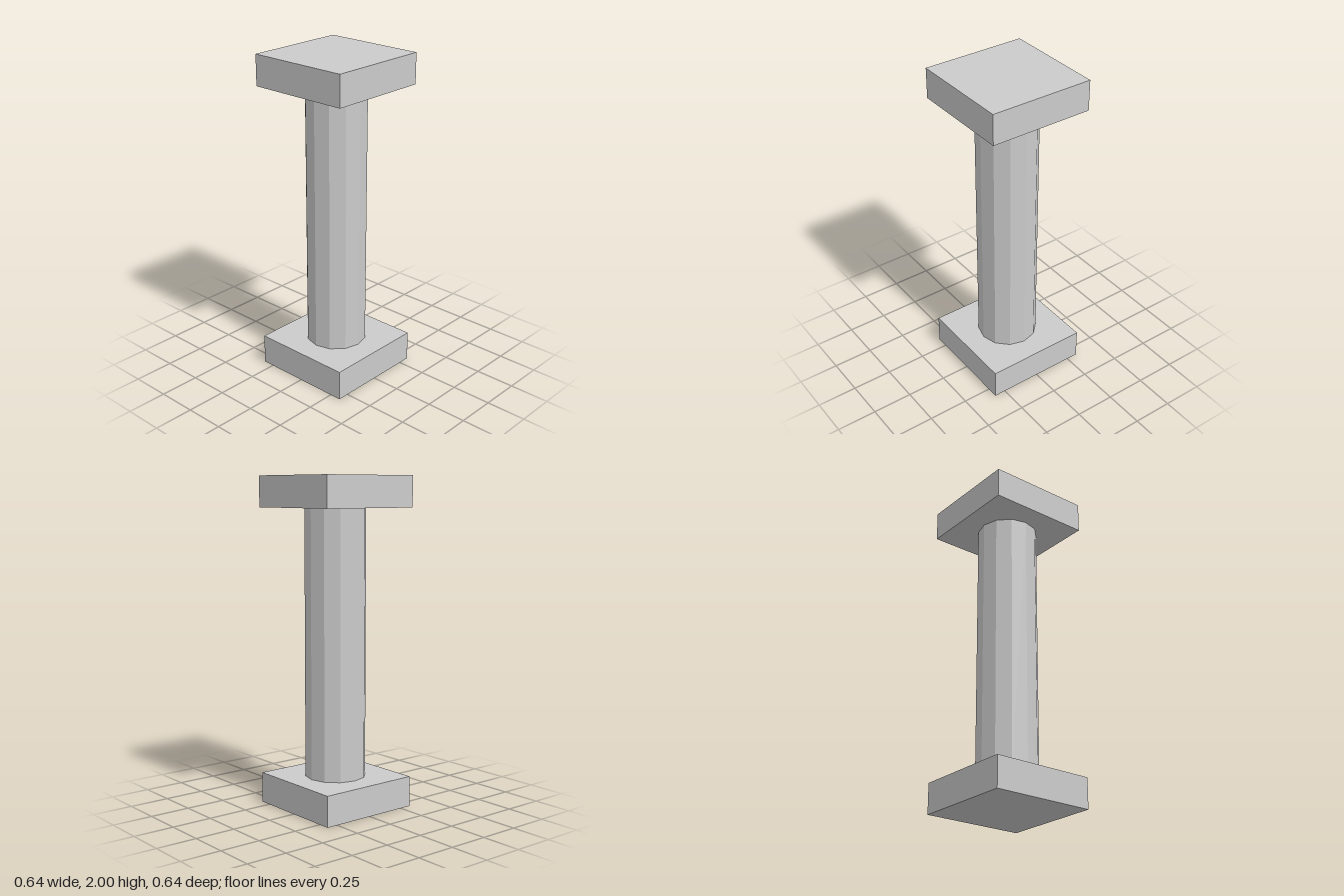
import * as THREE from 'three';

export function createModel() {
  const model = new THREE.Group();
  model.name = 'column';
  const material = new THREE.MeshStandardMaterial({ color: 0xcccccc, flatShading: true });

  const height = 2;
  const slabWidth = 0.643;
  const slabHeight = 0.187;
  const shaftRadius = 0.185;

  const add = (name, geometry, y) => {
    const mesh = new THREE.Mesh(geometry, material);
    mesh.name = name;
    mesh.position.y = y;
    model.add(mesh);
  };

  // Matching square slabs at the foot and head
  const slab = new THREE.BoxGeometry(slabWidth, slabHeight, slabWidth);
  add('base', slab, slabHeight / 2);
  add('capital', slab, height - slabHeight / 2);

  // Twelve-sided shaft, open where it meets the slabs
  const shaftHeight = height - 2 * slabHeight;
  add('shaft', new THREE.CylinderGeometry(shaftRadius, shaftRadius, shaftHeight, 12, 1, true), height / 2);

  return model;
}
